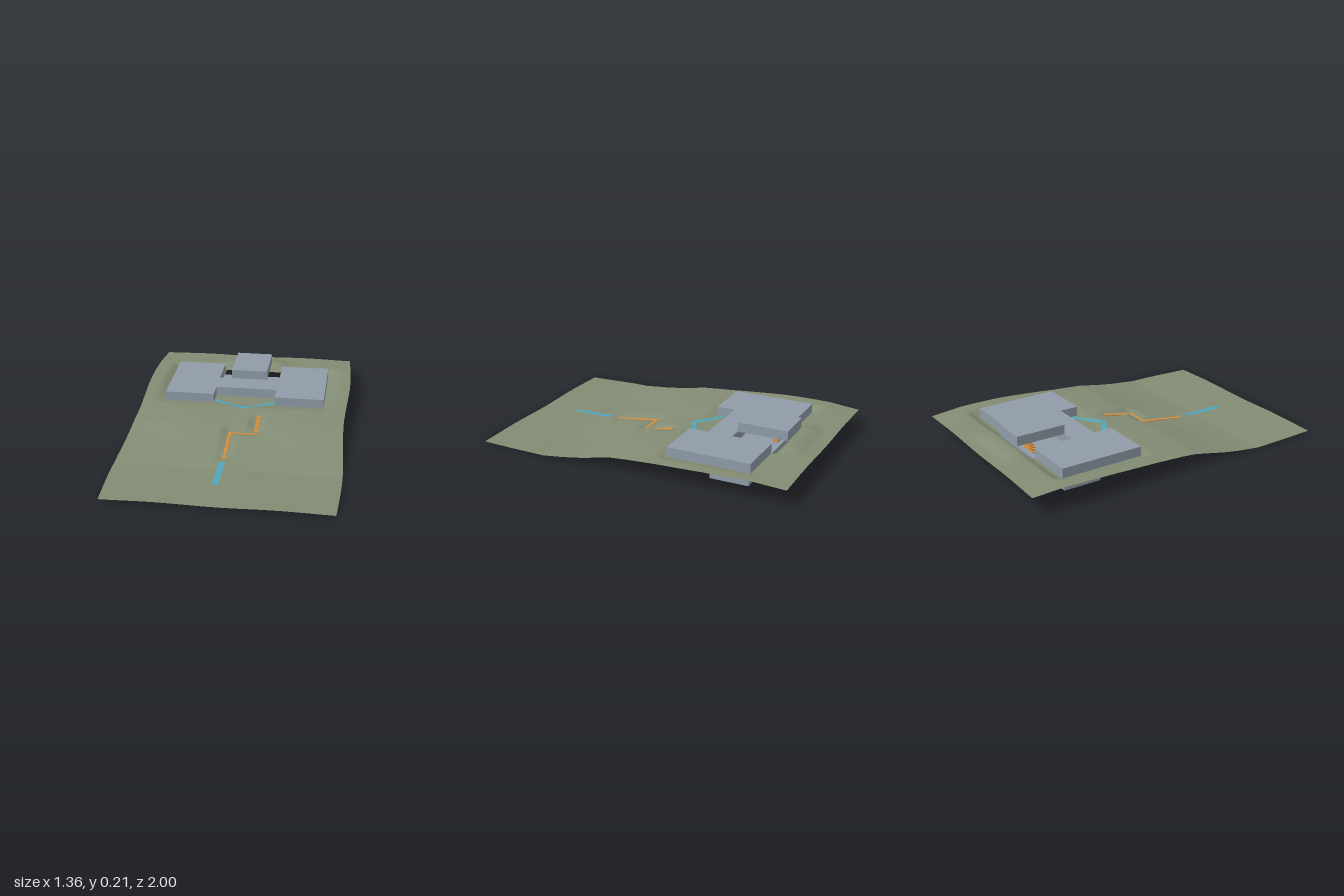
import * as THREE from 'three';

const { lerp, clamp, smoothstep } = THREE.MathUtils;

// Ground profile from front to back: [z, height]
const profile = [[-1, 0.115], [-0.8, 0.126], [-0.5, 0.12], [-0.2, 0.108], [0, 0.096], [0.1, 0.087],
  [0.3, 0.045], [0.42, 0.026], [0.56, 0.01], [0.8, 0.013], [1, 0.017]];

function slope(z) {
  for (let i = 1; i < profile.length; i++) {
    const [z0, y0] = profile[i - 1], [z1, y1] = profile[i];
    if (z <= z1) return lerp(y0, y1, clamp((z - z0) / (z1 - z0), 0, 1));
  }
  return 0.017;
}

// Distance from a point to a rectangle on the ground (0 inside)
const rectDistance = (x, z, x0, x1, z0, z1) =>
  Math.hypot(Math.max(x0 - x, 0, x - x1), Math.max(z0 - z, 0, z - z1));

function groundHeight(x, z) {
  let y = slope(z) + 0.004 * Math.cos(x * 9) * Math.sin(z * 5.5 - 1.6);
  // hump behind the upper room
  y += 0.018 * (1 - smoothstep(Math.abs(x), 0.15, 0.26)) * (1 - smoothstep(Math.abs(z + 0.84), 0.02, 0.1));
  // level pad under the house
  const pad = rectDistance(x, z, -0.52, 0.52, -0.74, -0.2);
  y = lerp(0.092, y, smoothstep(pad, 0.005, 0.07));
  // cuttings for the two flights and the landing
  const cut = (x0, x1, z0, z1, level) => {
    y = lerp(level, y, smoothstep(rectDistance(x, z, x0, x1, z0, z1), 0.005, 0.035));
  };
  cut(-0.055, -0.025, 0.16, 0.44, lerp(0.053, 0.018, clamp((z - 0.16) / 0.28, 0, 1)));
  cut(0.1, 0.13, -0.04, 0.13, lerp(0.088, 0.053, clamp((z + 0.04) / 0.17, 0, 1)));
  cut(-0.055, 0.13, 0.13, 0.165, 0.053);
  return Math.max(y, 0);
}

function terrainGeometry() {
  const nx = 68, nz = 100;
  const geo = new THREE.PlaneGeometry(1.34, 2, nx, nz).rotateX(-Math.PI / 2);
  const p = geo.attributes.position;
  const index = [];
  // leave an opening above the back yard
  for (let i = 0; i < geo.index.count; i += 3) {
    const t = [0, 1, 2].map((k) => geo.index.getX(i + k));
    const cx = t.reduce((s, v) => s + p.getX(v), 0) / 3;
    const cz = t.reduce((s, v) => s + p.getZ(v), 0) / 3;
    if (!(Math.abs(cx) < 0.197 && cz > -0.76 && cz < -0.48)) index.push(...t);
  }
  geo.setIndex(index);
  for (let i = 0; i < p.count; i++) {
    const x = p.getX(i), z = p.getZ(i);
    const wave = 0.01 * Math.cos((z + 0.55) * Math.PI * 2 / 1.15);
    p.setXYZ(i, x + Math.sign(x) * wave * Math.pow(Math.abs(x) / 0.67, 6), groundHeight(x, z), z);
  }
  geo.computeVertexNormals();
  return geo;
}

// Flat slab from a half plan outline [x, z], mirrored across x
function slab(half, y0, y1) {
  const pts = [...half, ...half.slice().reverse().map(([x, z]) => [-x, z])];
  const shape = new THREE.Shape(pts.map(([x, z]) => new THREE.Vector2(x, -z)));
  return new THREE.ExtrudeGeometry(shape, { depth: y1 - y0, bevelEnabled: false })
    .rotateX(-Math.PI / 2).translate(0, y0, 0);
}

export function createModel() {
  const model = new THREE.Group();
  const material = (name, color, side = THREE.FrontSide) => {
    const m = new THREE.MeshStandardMaterial({ color, side });
    m.name = name;
    return m;
  };
  const grass = material('sage ground', 0x838c74, THREE.DoubleSide);
  const stone = material('blue grey', 0x909ca8);
  const timber = material('orange', 0xd9923f);
  const water = material('water blue', 0x50a5bd, THREE.DoubleSide);

  const add = (name, geo, mat, parent = model) => {
    const mesh = new THREE.Mesh(geo, mat);
    mesh.name = name;
    parent.add(mesh);
    return mesh;
  };

  add('terrain', terrainGeometry(), grass);

  // House: lower, main and upper storeys
  add('lowerStorey', slab([[0.2, -0.32], [0.2, -0.48], [0.52, -0.48], [0.52, -0.72]], 0.015, 0.077), stone);
  add('mainStorey', slab([[0.2, -0.32], [0.2, -0.2], [0.52, -0.2], [0.52, -0.73], [0.2, -0.73], [0.2, -0.48]],
    0.095, 0.155), stone);
  add('upperStorey', slab([[0.12, -0.48], [0.12, -0.8]], 0.155, 0.215), stone);

  // Stairs: solid steps rising along a straight run
  const stairs = (name, from, to, base, low, high, width, steps) => {
    const group = new THREE.Group();
    group.name = name;
    const a = new THREE.Vector2(...from), b = new THREE.Vector2(...to);
    const run = a.distanceTo(b) / steps, alongX = a.y === b.y;
    for (let i = 0; i < steps; i++) {
      const c = a.clone().lerp(b, (i + 0.5) / steps);
      const top = lerp(low, high, (i + 1) / steps);
      const geo = new THREE.BoxGeometry(alongX ? run : width, top - base, alongX ? width : run);
      add('step', geo.translate(c.x, (top + base) / 2, c.y), timber, group);
    }
    model.add(group);
  };
  stairs('lowerStairs', [-0.04, 0.44], [-0.04, 0.16], 0.017, 0.018, 0.057, 0.02, 16);
  stairs('upperStairs', [0.118, 0.13], [0.118, -0.04], 0.054, 0.056, 0.092, 0.025, 10);
  stairs('houseStairs', [-0.11, -0.68], [0, -0.68], 0.077, 0.077, 0.155, 0.03, 8);
  add('landing', new THREE.BoxGeometry(0.18, 0.004, 0.015).translate(0.04, 0.054, 0.155), timber);

  // Water channels laid on the ground as ribbons
  const ribbon = (name, from, to, acrossX, acrossZ) => {
    const n = 14, pos = [], idx = [];
    for (let i = 0; i <= n; i++) {
      for (const s of [-1, 1]) {
        const x = lerp(from[0], to[0], i / n) + s * acrossX;
        const z = lerp(from[1], to[1], i / n) + s * acrossZ;
        pos.push(x, groundHeight(x, z) + 0.004, z);
      }
      if (i < n) idx.push(2 * i, 2 * i + 1, 2 * i + 2, 2 * i + 1, 2 * i + 3, 2 * i + 2);
    }
    const geo = new THREE.BufferGeometry();
    geo.setAttribute('position', new THREE.Float32BufferAttribute(pos, 3));
    geo.setIndex(idx);
    geo.computeVertexNormals();
    add(name, geo, water);
  };
  ribbon('lowerChannel', [-0.04, 0.76], [-0.04, 0.49], 0.018, 0);
  ribbon('rightChannel', [-0.195, -0.24], [0, -0.125], 0, 0.017);
  ribbon('leftChannel', [0, -0.125], [0.195, -0.24], 0, 0.017);

  return model;
}
